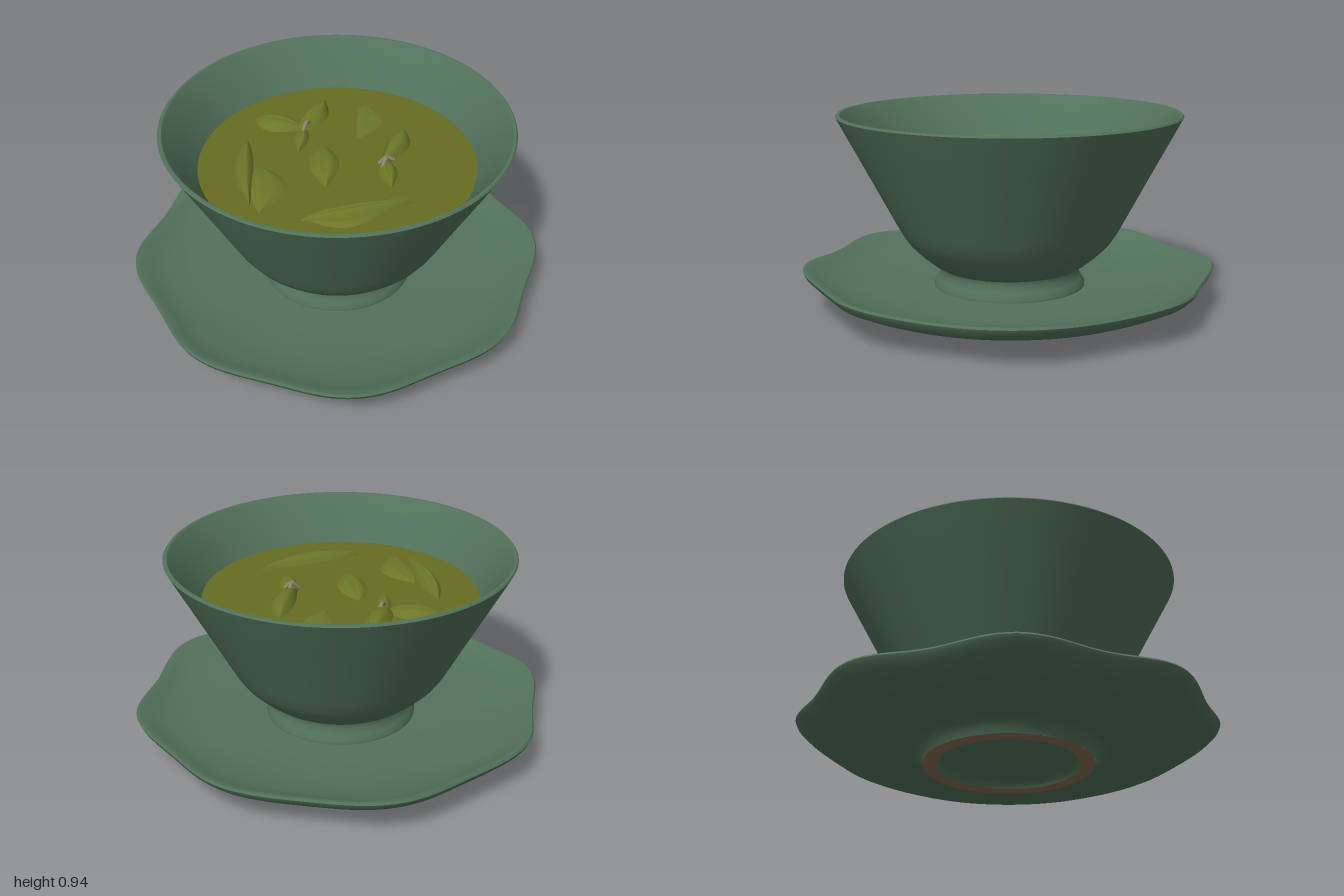
import * as THREE from 'three';
import { toCreasedNormals } from 'three/addons/utils/BufferGeometryUtils.js';

const mat = (name, color, side = THREE.FrontSide) => {
  const m = new THREE.MeshStandardMaterial({ color, side });
  m.name = name;
  return m;
};

const LIQUID_Y = 0.72;

// Surface of revolution from [radius, height] pairs
const lathe = (pts, segments = 96) =>
  new THREE.LatheGeometry(pts.map(([x, y]) => new THREE.Vector2(x, y)), segments);

// Presses eight soft lobes into the outer part of the saucer
function flute(geo) {
  const p = geo.attributes.position;
  for (let i = 0; i < p.count; i++) {
    const x = p.getX(i), z = p.getZ(i);
    const w = THREE.MathUtils.smoothstep(Math.hypot(x, z), 0.5, 1);
    const a = Math.atan2(z, x);
    const s = 1 - w * (0.025 * (1 - Math.cos(8 * a)) + 0.006 * (1 - Math.cos(4 * a)));
    const lift = w * (0.008 * Math.cos(8 * a) - 0.005 * Math.cos(2 * a));
    p.setXYZ(i, x * s, p.getY(i) + lift, z * s);
  }
  return geo;
}

// Curled leaf between two points on the liquid: [x0, z0, x1, z1, width, height, bend]
function leafGeometry([x0, z0, x1, z1, width, height, bend]) {
  const length = Math.hypot(x1 - x0, z1 - z0);
  const geo = new THREE.PlaneGeometry(1, 2, 20, 10).rotateX(-Math.PI / 2);
  const p = geo.attributes.position;
  for (let i = 0; i < p.count; i++) {
    const u = p.getX(i) + 0.5, v = p.getZ(i);
    const arch = Math.sin(Math.PI * u);
    const half = (width / 2) * Math.pow(Math.sin(Math.PI * Math.pow(u, 0.85)), 0.9) || 0;
    // domed across, with a shallow crease along the midrib
    const dome = (1 - v * v) - 0.25 * Math.exp(-30 * v * v);
    const y = 0.004 + height * Math.sqrt(Math.max(arch, 0)) * (0.15 + 0.85 * dome);
    p.setXYZ(i, (u - 0.5) * length, y, v * half + bend * (arch - 0.5));
  }
  geo.computeVertexNormals();
  geo.rotateY(Math.atan2(z0 - z1, x1 - x0));
  geo.translate((x0 + x1) / 2, LIQUID_Y, (z0 + z1) / 2);
  return geo;
}

export function createModel() {
  const group = new THREE.Group();
  const glaze = mat('green glaze', 0x52725a);
  const clay = mat('bare clay', 0x8a6c56);
  const tea = mat('tea', 0x666c20);
  const leafGreen = mat('leaf green', 0x6d7628, THREE.DoubleSide);
  const stem = mat('stem', 0x8f8270);

  const add = (name, geo, material) => {
    const mesh = new THREE.Mesh(geo, material);
    mesh.name = name;
    group.add(mesh);
    return mesh;
  };

  // Saucer
  add('saucer', toCreasedNormals(flute(lathe([
    [0.405, 0], [0.415, 0.025], [0.435, 0.05], [0.47, 0.06], [0.65, 0.068],
    [0.8, 0.083], [0.9, 0.103], [0.96, 0.13], [0.992, 0.16], [1, 0.178],
    [0.993, 0.188], [0.975, 0.186], [0.94, 0.166], [0.85, 0.138],
    [0.7, 0.116], [0.5, 0.102], [0.3, 0.1],
  ], 160)), 0.7), glaze);
  add('saucerRecess', toCreasedNormals(lathe([[0, 0.03], [0.31, 0.03], [0.325, 0.02], [0.335, 0]]), 0.7), glaze);
  add('footRing', new THREE.RingGeometry(0.335, 0.405, 96).rotateX(Math.PI / 2), clay);

  // Bowl: flared foot, rounded belly, straight wall, rim and inside
  add('bowl', toCreasedNormals(lathe([
    [0.365, 0.1], [0.365, 0.115], [0.35, 0.14], [0.335, 0.17], [0.34, 0.195],
    [0.38, 0.22], [0.435, 0.265], [0.485, 0.315], [0.52, 0.365], [0.55, 0.42],
    [0.65, 0.61], [0.735, 0.77], [0.815, 0.92], [0.821, 0.932], [0.815, 0.94],
    [0.803, 0.94], [0.793, 0.93], [0.725, 0.825], [0.655, LIQUID_Y],
    [0.56, 0.55], [0.45, 0.37], [0.3, 0.28], [0, 0.26],
  ]), 0.7), glaze);

  // Tea surface
  const surface = add('teaSurface', new THREE.CircleGeometry(0.657, 96).rotateX(-Math.PI / 2), tea);
  surface.position.y = LIQUID_Y;

  // Floating leaves
  [
    [-0.38, -0.38, -0.14, -0.27, 0.15, 0.045, 0],
    [-0.16, -0.25, -0.01, -0.51, 0.12, 0.06, 0.02],
    [-0.14, -0.28, -0.18, -0.08, 0.07, 0.035, 0],
    [0.2, -0.47, 0.13, -0.17, 0.13, 0.012, -0.04],
    [-0.43, -0.2, -0.43, 0.31, 0.09, 0.045, 0.02],
    [-0.35, 0.02, -0.36, 0.37, 0.17, 0.03, -0.04],
    [-0.06, -0.12, -0.07, 0.21, 0.14, 0.04, 0],
    [0.35, -0.22, 0.21, 0.06, 0.11, 0.06, -0.02],
    [0.22, 0.02, 0.23, 0.23, 0.09, 0.04, 0],
    [-0.2, 0.44, 0.32, 0.35, 0.09, 0.05, 0.01],
    [-0.16, 0.45, 0.17, 0.43, 0.1, 0.02, 0.03],
  ].forEach((spec, i) => add(`leaf${i + 1}`, leafGeometry(spec), leafGreen));

  // Short stems where leaves join
  [
    [-0.15, -0.23, -0.11, -0.3],
    [0.19, 0.06, 0.26, 0.05],
    [0.2, 0.1, 0.24, 0.03],
  ].forEach(([x0, z0, x1, z1], i) => {
    const path = new THREE.CatmullRomCurve3([
      new THREE.Vector3(x0, LIQUID_Y + 0.02, z0),
      new THREE.Vector3((x0 + x1) / 2, LIQUID_Y + 0.05, (z0 + z1) / 2),
      new THREE.Vector3(x1, LIQUID_Y + 0.03, z1),
    ]);
    add(`stem${i + 1}`, new THREE.TubeGeometry(path, 8, 0.01, 8), stem);
  });

  return group;
}
